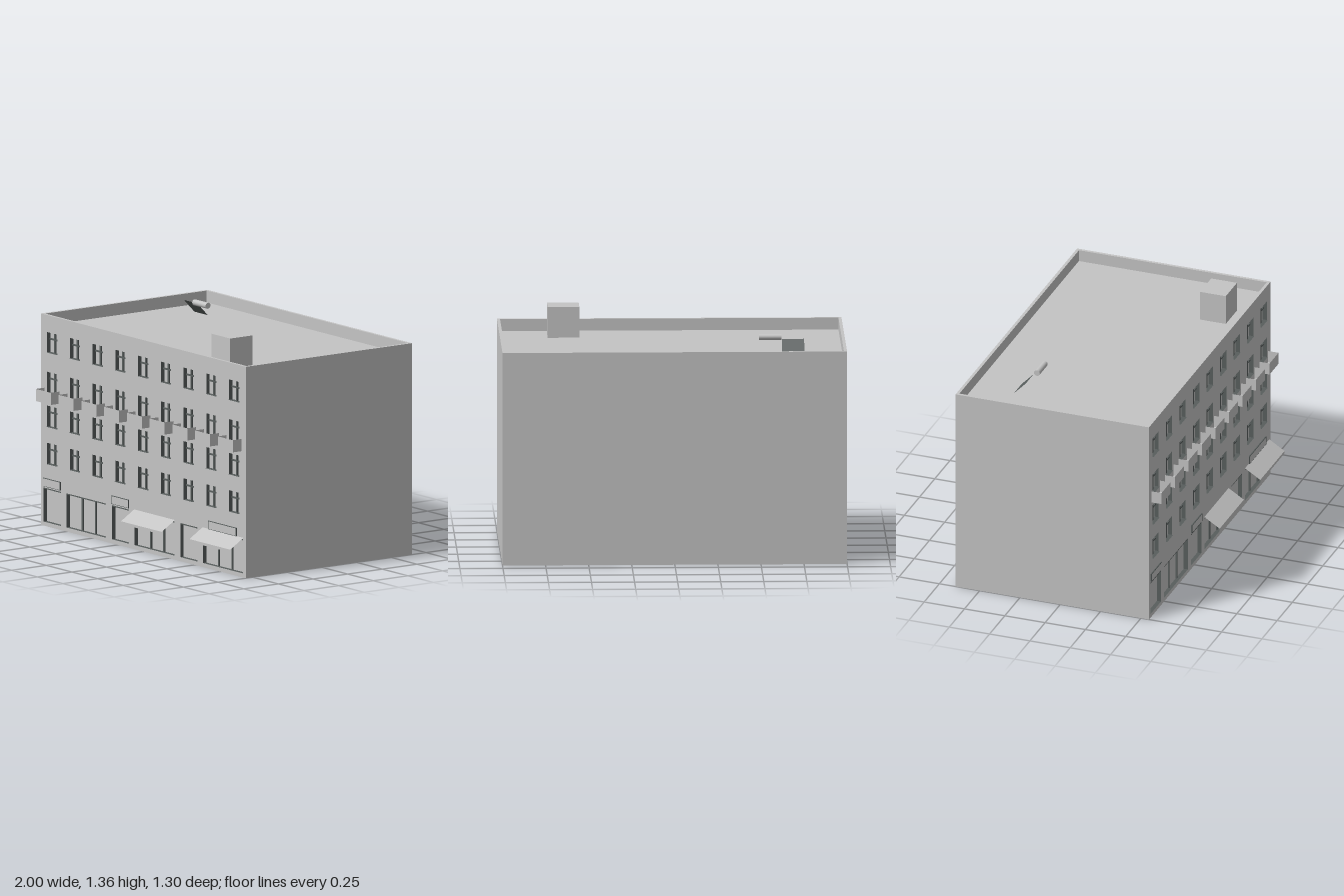
import * as THREE from 'three';

const plaster = new THREE.MeshStandardMaterial({ color: 0xc4c4c4, side: THREE.DoubleSide });
plaster.name = 'grey plaster';
const dark = new THREE.MeshStandardMaterial({ color: 0x585e5d, side: THREE.DoubleSide });
dark.name = 'dark frame';

const FRONT = 0.55, BACK = -0.65, TOP = 1.25, ROOF = 1.18, RIM = 0.018, DEPTH = 0.025;

export function createModel() {
  const model = new THREE.Group();
  model.name = 'cityBuilding';

  function add(name, geometry, material, x = 0, y = 0, z = 0, parent = model) {
    const mesh = new THREE.Mesh(geometry, material);
    mesh.name = name;
    mesh.position.set(x, y, z);
    parent.add(mesh);
    return mesh;
  }
  // Thin sheet between x0..x1 sweeping from (y0, z0) to (y1, z1)
  function sheet(name, x0, x1, y0, z0, y1, z1, material, parent) {
    const g = new THREE.BufferGeometry();
    g.setAttribute('position', new THREE.Float32BufferAttribute(
      [x0, y0, z0, x1, y0, z0, x1, y1, z1, x0, y1, z1], 3));
    g.setIndex([0, 1, 2, 0, 2, 3]);
    g.computeVertexNormals();
    return add(name, g, material, 0, 0, 0, parent);
  }
  // Sheet facing +x
  function sideSheet(name, x, y0, y1, z0, z1, material, parent) {
    const g = new THREE.PlaneGeometry(z1 - z0, y1 - y0).rotateY(Math.PI / 2);
    return add(name, g, material, x, (y0 + y1) / 2, (z0 + z1) / 2, parent);
  }
  function rectPath(Type, x0, x1, y0, y1) {
    return new Type([[x0, y0], [x1, y0], [x1, y1], [x0, y1]].map(p => new THREE.Vector2(...p)));
  }

  // Front wall, pierced by every window and shop opening
  const frontShape = rectPath(THREE.Shape, -1, 1, 0, TOP);

  // Recessed opening: pane, dark jambs and dark bars
  function opening(name, x0, x1, y0, y1, barXs, barY, barWidth, sill) {
    frontShape.holes.push(rectPath(THREE.Path, x0, x1, y0, y1));
    const group = new THREE.Group();
    group.name = name;
    model.add(group);
    const z = FRONT - DEPTH;
    sheet('pane', x0, x1, y0, z, y1, z, plaster, group);
    sheet('sill', x0, x1, y0, FRONT + sill, y0, z, dark, group);
    sheet('head', x0, x1, y1, z, y1, FRONT, dark, group);
    for (const x of [x0, x1]) sideSheet('jamb', x, y0, y1, z, FRONT, dark, group);
    for (const x of barXs) {
      add('uprightBar', new THREE.BoxGeometry(barWidth, y1 - y0, 0.008), dark,
        x, (y0 + y1) / 2, z + 0.004, group);
    }
    if (barY) {
      add('crossBar', new THREE.BoxGeometry(x1 - x0, 0.009, 0.008), dark,
        (x0 + x1) / 2, barY, z + 0.004, group);
    }
  }

  // Upper storeys and the balcony row
  const rows = [[1.03, 1.15], [0.79, 0.915], [0.59, 0.715], [0.37, 0.495]];
  for (let i = 0; i < 9; i++) {
    const x = -0.89 + i * 0.222;
    for (const [y0, y1] of rows) {
      opening('window', x - 0.05, x + 0.05, y0, y1, [x], y1 - 0.042, 0.014, 0.006);
    }
    const balcony = new THREE.Group();
    balcony.name = 'balcony';
    model.add(balcony);
    const x0 = x - 0.073, x1 = x + 0.073, z = 0.614;
    sheet('balconyFloor', x0, x1, 0.745, z, 0.745, FRONT, plaster, balcony);
    sheet('balconyFront', x0, x1, 0.745, z, 0.817, z, plaster, balcony);
    for (const sx of [x0, x1]) sideSheet('balconySide', sx, 0.745, 0.817, FRONT, z, plaster, balcony);
  }

  // Street level: doors and three-pane shop windows
  const shops = [
    [-0.973, -0.803, []], [-0.75, -0.363, [-0.62, -0.492]], [-0.307, -0.14, []],
    [-0.085, 0.305, [0.048, 0.176]], [0.36, 0.528, []], [0.58, 0.973, [0.71, 0.842]],
  ];
  for (const [x0, x1, bars] of shops) {
    opening(bars.length ? 'shopWindow' : 'door', x0, x1, 0.024, 0.226, bars, 0, 0.011, 0);
    add('lintelStrip', new THREE.BoxGeometry(x1 - x0, 0.007, 0.008), dark,
      (x0 + x1) / 2, 0.222, FRONT - 0.006);
  }

  // Blank sign boards with dark edges
  for (const [x0, x1] of [[-0.973, -0.805], [-0.307, -0.14], [0.64, 0.912]]) {
    add('signEdge', new THREE.BoxGeometry(x1 - x0, 0.05, 0.006), dark,
      (x0 + x1) / 2, 0.259, FRONT + 0.003);
    add('signFace', new THREE.PlaneGeometry(x1 - x0 - 0.006, 0.044), plaster,
      (x0 + x1) / 2, 0.259, FRONT + 0.0068);
  }

  // Sloping awnings with a narrow valance
  for (const x0 of [-0.09, 0.578]) {
    const x1 = x0 + 0.398;
    sheet('awning', x0, x1, 0.176, 0.645, 0.235, FRONT, plaster);
    sheet('awningValance', x0, x1, 0.16, 0.645, 0.176, 0.645, plaster);
  }

  // Shell, open underneath
  add('frontWall', new THREE.ShapeGeometry(frontShape), plaster, 0, 0, FRONT);
  add('backWall', new THREE.PlaneGeometry(2, TOP).rotateY(Math.PI), plaster, 0, TOP / 2, BACK);
  add('leftWall', new THREE.PlaneGeometry(1.2, TOP).rotateY(Math.PI / 2), plaster, 1, TOP / 2, -0.05);
  add('rightWall', new THREE.PlaneGeometry(1.2, TOP).rotateY(-Math.PI / 2), plaster, -1, TOP / 2, -0.05);

  // Sunken roof with parapet
  const inX = 1 - RIM, inFront = FRONT - RIM, inBack = BACK + RIM;
  sheet('roof', -inX, inX, ROOF, inFront, ROOF, inBack, plaster);
  sheet('parapetFront', -inX, inX, TOP, inFront, ROOF, inFront, plaster);
  sheet('parapetBack', -inX, inX, ROOF, inBack, TOP, inBack, plaster);
  for (const s of [-1, 1]) sideSheet('parapetSide', s * inX, ROOF, TOP, inBack, inFront, plaster);
  const rim = rectPath(THREE.Shape, -1, 1, -FRONT, -BACK);
  rim.holes.push(rectPath(THREE.Path, -inX, inX, -inFront, -inBack));
  add('parapetTop', new THREE.ShapeGeometry(rim).rotateX(-Math.PI / 2), plaster, 0, TOP, 0);

  // Roof fittings
  add('roofBox', new THREE.BoxGeometry(0.184, 0.18, 0.16), plaster, 0.62, 1.27, 0.37);
  sheet('solarPanel', -0.76, -0.63, 1.268, -0.305, 1.19, -0.38, dark);
  add('waterTank', new THREE.CylinderGeometry(0.018, 0.018, 0.13, 16).rotateZ(Math.PI / 2),
    plaster, -0.564, 1.277, -0.285);

  return model;
}
